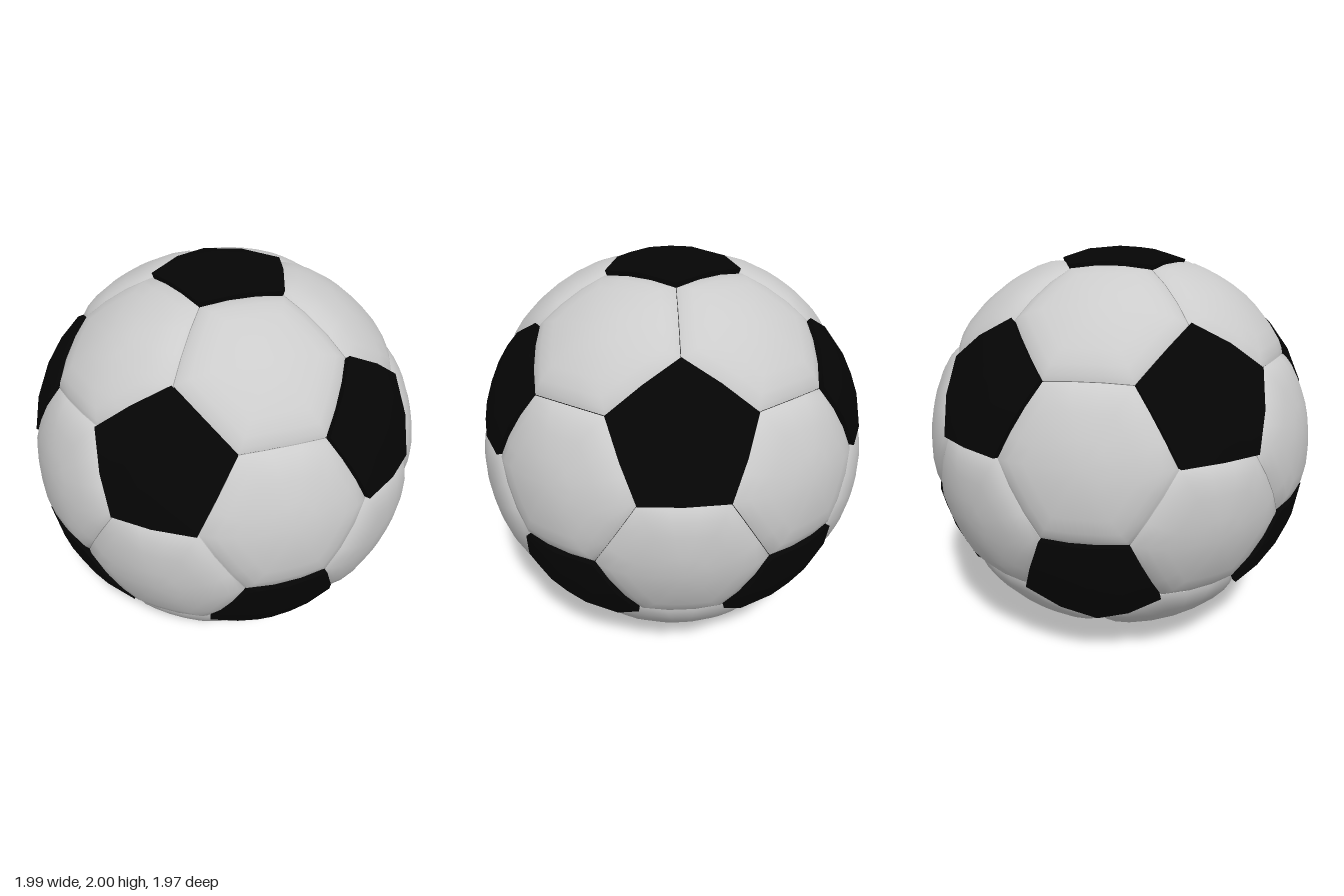
import * as THREE from 'three';

const white = new THREE.MeshStandardMaterial({ color: 0xcccccc });
const black = new THREE.MeshStandardMaterial({ color: 0x050505 });

// The twelve directions of an icosahedron standing on a point
function icosahedronPoints() {
  const points = [new THREE.Vector3(0, 1, 0), new THREE.Vector3(0, -1, 0)];
  const y = 1 / Math.sqrt(5), r = 2 * y;
  for (let k = 0; k < 5; k++) {
    const a = k * Math.PI * 0.4, b = a + Math.PI / 5;
    points.push(new THREE.Vector3(r * Math.cos(a), y, r * Math.sin(a)));
    points.push(new THREE.Vector3(r * Math.cos(b), -y, r * Math.sin(b)));
  }
  return points;
}

// Corners in anticlockwise order seen from outside
function sortAround(centre, corners) {
  const u = corners[0].clone().addScaledVector(centre, -corners[0].dot(centre)).normalize();
  const v = new THREE.Vector3().crossVectors(centre, u);
  const angle = (p) => Math.atan2(p.dot(v), p.dot(u));
  return [...corners].sort((a, b) => angle(a) - angle(b));
}

// A domed panel: rings [t, radius] from the centre to the rim, then a separate side wall
function panelGeometry(centre, corners, rings, split, shrink, centreRadius) {
  const sorted = sortAround(centre, corners);
  const count = sorted.length * split;
  const rim = [];
  sorted.forEach((corner, i) => {
    const next = sorted[(i + 1) % sorted.length];
    for (let k = 0; k < split; k++) rim.push(corner.clone().lerp(next, k / split));
  });
  const middle = centre.clone().multiplyScalar(rim[0].dot(centre));
  const position = [], index = [];
  const add = (v) => position.push(v.x, v.y, v.z);
  const addRing = (t, radius) => rim.forEach((p) =>
    add(middle.clone().lerp(p, t * shrink).setLength(radius)));
  const strip = (a, b) => {
    for (let j = 0; j < count; j++) {
      const k = (j + 1) % count;
      index.push(a + j, b + j, b + k, a + j, b + k, a + k);
    }
  };
  add(centre.clone().setLength(centreRadius));
  rings.forEach(([t, radius], i) => {
    addRing(t, radius);
    const start = 1 + i * count;
    if (i > 0) return strip(start - count, start);
    for (let j = 0; j < count; j++) index.push(0, 1 + j, 1 + (j + 1) % count);
  });
  const wall = 1 + rings.length * count;
  addRing(1, rings[rings.length - 1][1]);
  addRing(1, 0.93);
  strip(wall, wall + count);
  const geometry = new THREE.BufferGeometry();
  geometry.setAttribute('position', new THREE.Float32BufferAttribute(position, 3));
  geometry.setIndex(index);
  geometry.computeVertexNormals();
  return geometry;
}

export function createModel() {
  const ball = new THREE.Group();
  ball.name = 'ball';
  const points = icosahedronPoints();
  const near = (a, b) => a !== b && a.dot(b) > 0.4;
  const third = (a, b) => a.clone().multiplyScalar(2).add(b).normalize();
  const addMesh = (name, geometry, material) => {
    const mesh = new THREE.Mesh(geometry, material);
    mesh.name = name;
    mesh.position.y = 1;
    ball.add(mesh);
  };

  // Dark core behind the seams
  addMesh('core', new THREE.SphereGeometry(0.945, 48, 32), black);

  // Black pentagons, one at each icosahedron point
  for (const p of points) {
    const corners = points.filter((q) => near(p, q)).map((q) => third(p, q));
    const rings = [[0.5, 0.998], [1, 0.99]];
    addMesh('pentagonPanel', panelGeometry(p, corners, rings, 2, 0.99, 1), black);
  }

  // White padded hexagons, one on each icosahedron face
  const hexRings = [[0.3, 0.996], [0.6, 0.994], [0.8, 0.988], [0.93, 0.977], [1, 0.966]];
  points.forEach((a, i) => points.forEach((b, j) => points.forEach((c, k) => {
    if (!(i < j && j < k && near(a, b) && near(b, c) && near(a, c))) return;
    const centre = a.clone().add(b).add(c).normalize();
    const corners = [third(a, b), third(b, a), third(b, c), third(c, b), third(c, a), third(a, c)];
    addMesh('hexagonPanel', panelGeometry(centre, corners, hexRings, 3, 0.995, 0.997), white);
  })));
  return ball;
}
